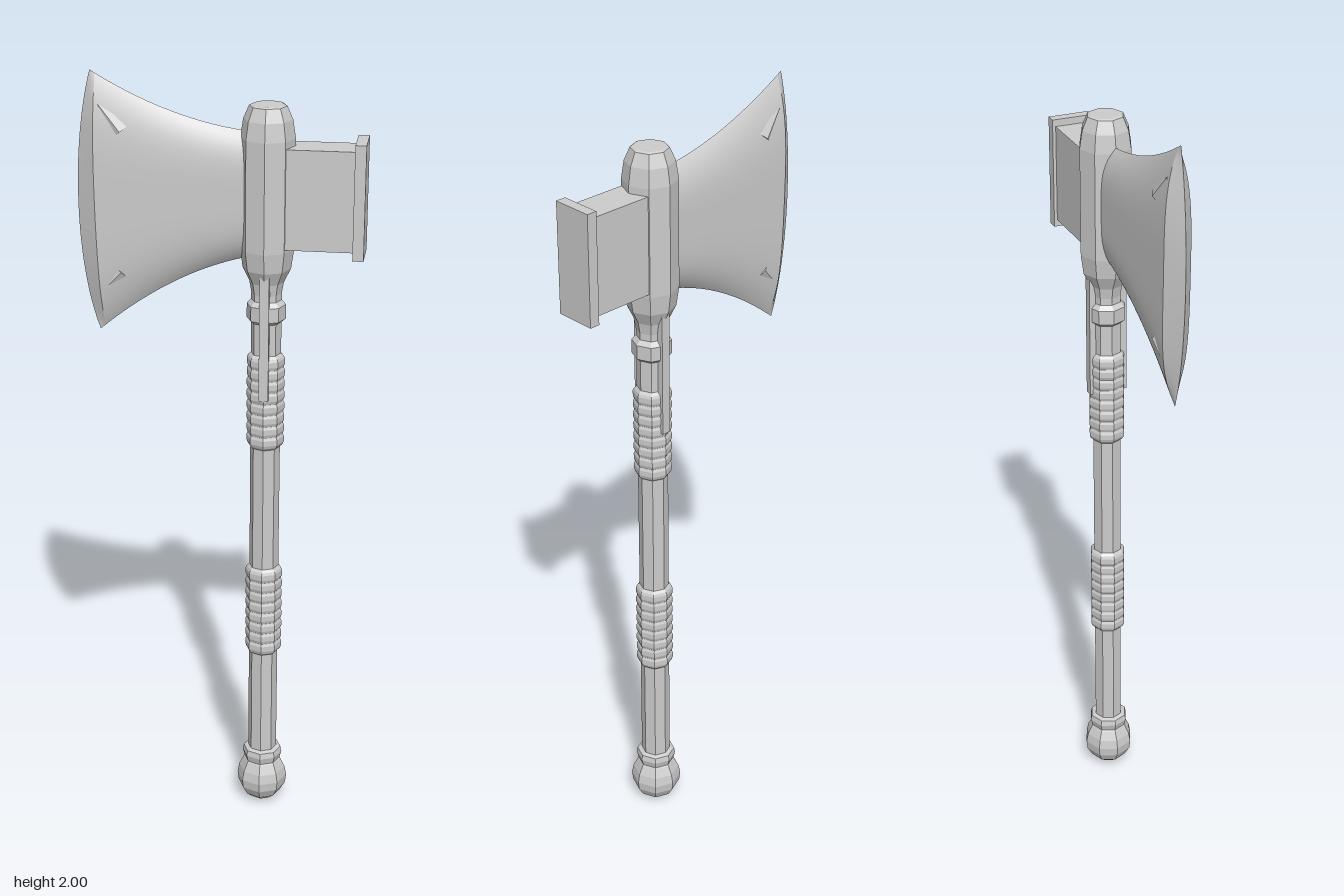
import * as THREE from 'three';
import { ParametricGeometry } from 'three/addons/geometries/ParametricGeometry.js';

const AXIS = 0.112; // x of the haft

export function createModel() {
  const group = new THREE.Group();
  const facetSteel = new THREE.MeshStandardMaterial({ color: 0xcccccc });
  facetSteel.name = 'steel grey';

  const add = (name, geometry, x = 0, y = 0, z = 0) => {
    const mesh = new THREE.Mesh(geometry, facetSteel);
    mesh.name = name;
    mesh.position.set(x, y, z);
    group.add(mesh);
    return mesh;
  };

  // Eight-sided turned part with flat facets, from [radius, height] points
  const turned = (name, points) => {
    const lathe = new THREE.LatheGeometry(points.map(([r, y]) => new THREE.Vector2(r, y)), 8).toNonIndexed();
    lathe.computeVertexNormals();
    return add(name, lathe, AXIS);
  };

  // Haft, pommel and collars
  turned('haft', [[0.038, 0.1], [0.038, 1.53]]);
  turned('pommel', [[0, 0], [0.028, 0.007], [0.05, 0.025], [0.064, 0.05], [0.067, 0.075],
    [0.062, 0.1], [0.05, 0.125], [0.046, 0.13]]);
  turned('pommelRing', [[0.038, 0.122], [0.047, 0.126], [0.053, 0.147], [0.05, 0.162], [0.038, 0.166]]);
  turned('neckRing', [[0.037, 1.385], [0.049, 1.395], [0.049, 1.432], [0.037, 1.445]]);
  turned('headSocket', [[0.036, 1.45], [0.043, 1.49], [0.06, 1.525], [0.067, 1.575], [0.067, 1.85],
    [0.06, 1.895], [0.046, 1.927], [0.04, 1.93], [0, 1.93]]);

  // Ribbed grips
  for (const [name, base] of [['lowerGrip', 0.46], ['upperGrip', 1.05]]) {
    const profile = [[0.037, base]];
    for (let i = 0; i < 8; i++) {
      const y = base + 0.008 + i * 0.03;
      profile.push([0.045, y], [0.048, y + 0.008], [0.048, y + 0.022], [0.045, y + 0.029]);
    }
    profile.push([0.037, base + 0.255]);
    turned(name, profile);
  }

  // Langets down the front and back of the haft
  for (const side of [1, -1]) {
    add(side > 0 ? 'frontLanget' : 'backLanget', new THREE.BoxGeometry(0.024, 0.33, 0.016), AXIS, 1.355, side * 0.042);
  }

  // Hammer poll
  add('hammerNeck', new THREE.BoxGeometry(0.19, 0.248, 0.09), 0.235, 1.708, 0);
  add('hammerFace', new THREE.BoxGeometry(0.027, 0.284, 0.106), 0.3385, 1.708, 0);

  // Blade outline: flared top and bottom curves and a bowed cutting edge
  const topY = (x) => { const d = 0.055 - x; return 1.865 + 0.12 * d + 0.64 * d * d; };
  const bottomY = (x) => { const d = 0.055 - x; return 1.548 - 0.25 * d - 0.85 * d * d; };
  const edgeX = (t) => -0.355 + 0.042 * t * t - 0.006 * t;
  const bevelX = (t) => edgeX(t) + 0.047 - 0.034 * t * t;
  const thickness = (t) => 0.034 * (1 - t ** 4);

  const bladeSurface = (name, side, x0, x1, z0, z1, columns) => {
    const surface = (u, v, p) => {
      const k = side > 0 ? u : 1 - u;
      const t = v * 2 - 1;
      const x = THREE.MathUtils.lerp(x0(t), x1(t), k);
      const y = THREE.MathUtils.lerp(bottomY(x), topY(x), v);
      p.set(x, y, side * THREE.MathUtils.lerp(z0(t), z1(t), k));
    };
    add(name, new ParametricGeometry(surface, columns, 24));
  };
  for (const side of [1, -1]) {
    const label = side > 0 ? 'Front' : 'Back';
    bladeSurface('bladeCheek' + label, side, bevelX, () => 0.07, thickness, thickness, 12);
    bladeSurface('cuttingBevel' + label, side, edgeX, bevelX, () => 0, thickness, 2);

    // Small barbs worked into the blade corners
    for (const [name, x, y, tilt] of [['upperBarb', -0.27, 1.89, 0.7], ['lowerBarb', -0.275, 1.475, 2.4]]) {
      const barb = new THREE.ConeGeometry(0.028, 0.085, 4).toNonIndexed();
      barb.computeVertexNormals();
      const mesh = add(name + label, barb, x, y, side * 0.022);
      mesh.scale.z = 0.45;
      mesh.rotation.z = tilt;
    }
  }
  return group;
}
